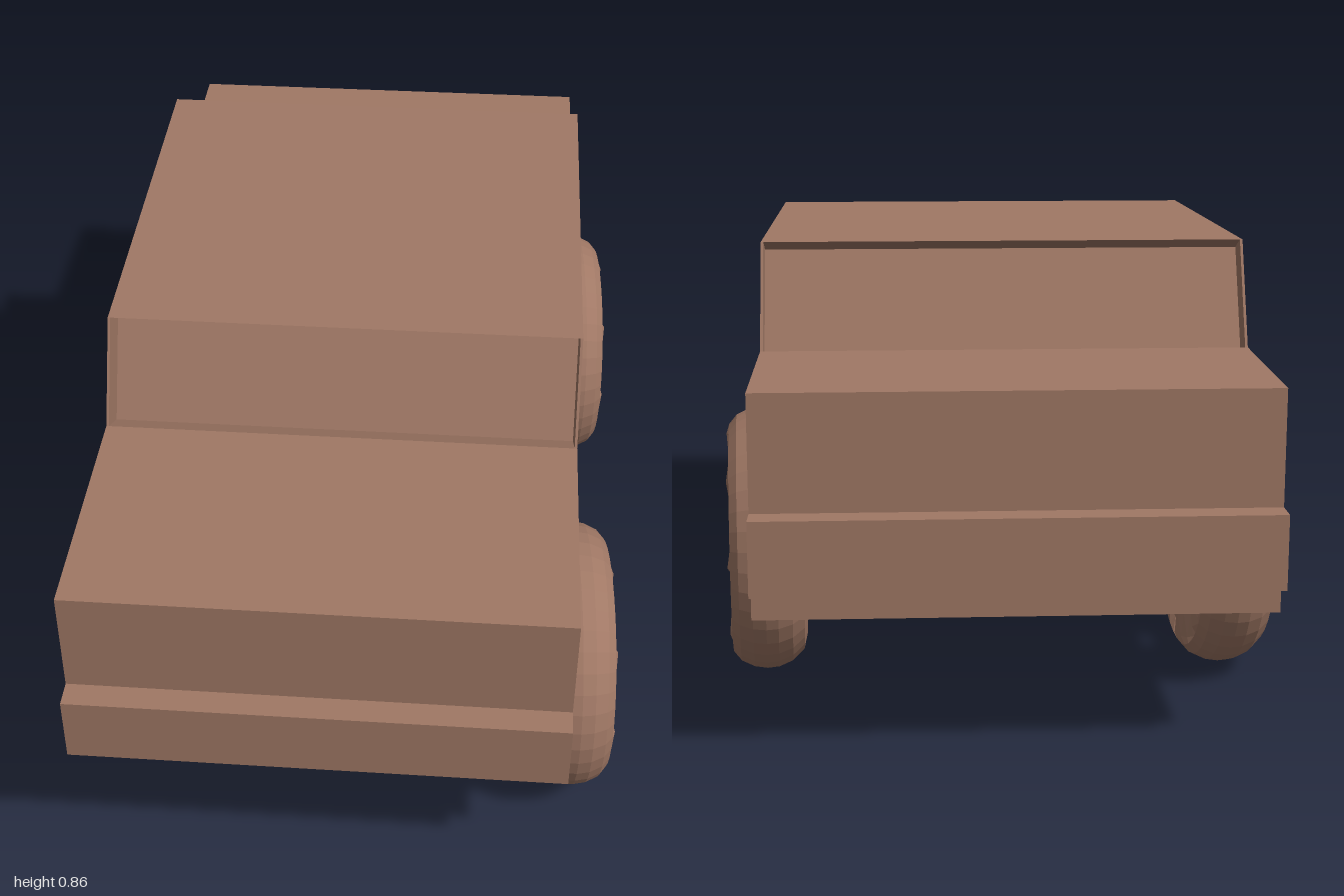
import * as THREE from 'three';

const paint = new THREE.MeshStandardMaterial({ color: 0xa07865, flatShading: true });

// Extrudes a side profile of [z, y] points between two x positions
function slab(name, points, x0, x1) {
  const shape = new THREE.Shape(points.map(([z, y]) => new THREE.Vector2(z, y)));
  const geo = new THREE.ExtrudeGeometry(shape, { depth: x1 - x0, bevelEnabled: false });
  geo.rotateY(-Math.PI / 2).translate(x1, 0, 0);
  const mesh = new THREE.Mesh(geo, paint);
  mesh.name = name;
  return mesh;
}

// Rounded tyre ring with saw-tooth notches on its +x face
function tyreGeometry() {
  const teeth = 8, steps = 5, cut = 0.035;
  const profile = [
    [0.158, -0.062], [0.168, -0.072], [0.195, -0.075], [0.225, -0.068], [0.247, -0.045],
    [0.258, -0.018], [0.26, 0.005], [0.256, 0.03], [0.244, 0.055], [0.226, 0.07],
    [0.212, 0.075], [0.165, 0.072], [0.158, 0.06], [0.158, -0.062],
  ].map(([r, x]) => new THREE.Vector2(r, x));
  const geo = new THREE.LatheGeometry(profile, teeth * steps);
  const pos = geo.attributes.position;
  for (let i = 0; i < pos.count; i++) {
    const row = i % profile.length, seg = Math.floor(i / profile.length);
    const ramp = (seg % steps) / (steps - 1);
    if (row >= 10 && row <= 12) pos.setY(i, pos.getY(i) - cut * ramp * (row === 10 ? 0.6 : 1));
  }
  geo.rotateZ(-Math.PI / 2);
  return geo;
}

export function createModel() {
  const group = new THREE.Group();
  const left = 0.44, right = -0.48, skin = 0.005;

  // Lower body with bumpers, shared by the core and the side panels
  const rear = [
    [-0.95, 0.66], [-0.95, 0.45], [-1, 0.45], [-1, 0.315], [-0.95, 0.315], [-0.95, 0.26],
  ];
  const front = [
    [0.95, 0.26], [0.95, 0.315], [1, 0.315], [1, 0.45], [0.95, 0.45], [0.95, 0.66],
  ];
  const windscreen = [[0.46, 0.66], [0.36, 0.85]];
  const rearWindow = [[-0.5, 0.86], [-0.585, 0.665]];

  // Replaces a sloped edge by a parallel one sunk into the cabin
  const sink = ([a, b], dz, dy) => [a, [a[0] + dz, a[1] + dy], [b[0] + dz, b[1] + dy], b];

  const outline = [...front, ...windscreen, ...rearWindow, ...rear];
  const sunk = [...front, ...sink(windscreen, -0.067, -0.036), ...sink(rearWindow, 0.045, -0.02), ...rear];
  group.add(
    slab('body', sunk, right + skin, left - skin),
    slab('leftSidePanel', outline, left - skin, left),
    slab('rightSidePanel', outline, right, right + skin),
  );

  // Four identical wheels, turned slightly about the vertical
  const tyre = tyreGeometry();
  for (const [side, x] of [['Left', 0.445], ['Right', -0.45]]) {
    for (const [end, z] of [['front', 0.615], ['rear', -0.44]]) {
      const wheel = new THREE.Mesh(tyre, paint);
      wheel.name = `${end}${side}Wheel`;
      wheel.position.set(x, 0.265, z);
      wheel.rotation.y = 0.065;
      group.add(wheel);
    }
  }
  return group;
}
